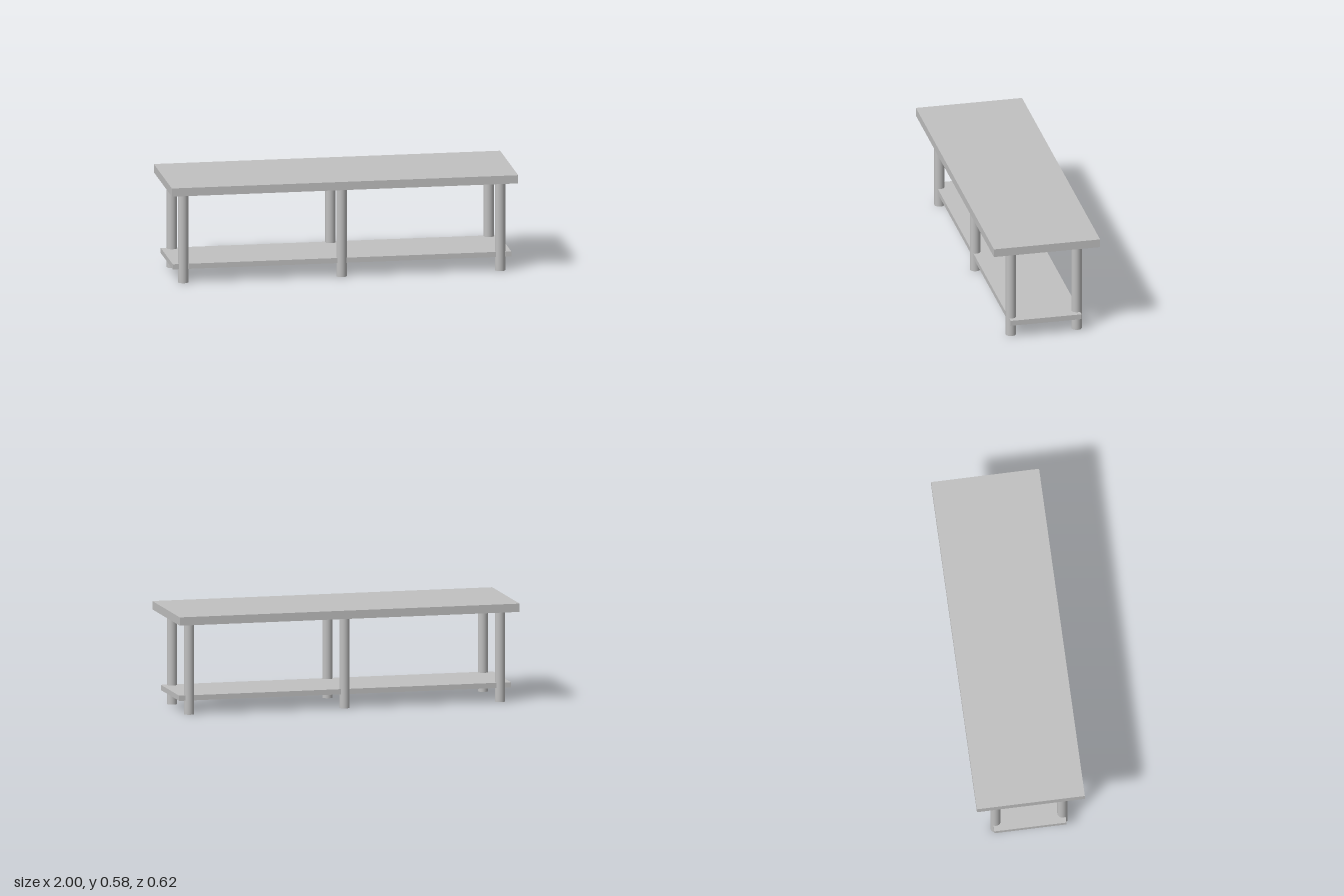
import * as THREE from 'three';

export function createModel() {
  const group = new THREE.Group();
  const grey = new THREE.MeshStandardMaterial({ color: 0xc0c0c0 });
  grey.name = 'light grey';

  function add(name, geometry, x, y, z) {
    const mesh = new THREE.Mesh(geometry, grey);
    mesh.name = name;
    mesh.position.set(x, y, z);
    group.add(mesh);
  }

  // Slabs
  const legHeight = 0.53, topThickness = 0.048;
  add('tableTop', new THREE.BoxGeometry(2, topThickness, 0.62), 0, legHeight + topThickness / 2, 0);
  add('lowerShelf', new THREE.BoxGeometry(1.954, 0.03, 0.414), 0, 0.095, 0);

  // Three pairs of round legs, passing through the shelf edges
  const legGeometry = new THREE.CylinderGeometry(0.0295, 0.0295, legHeight, 40);
  for (const [zName, z] of [['front', 0.192], ['back', -0.192]]) {
    for (const [xName, x] of [['Right', -0.915], ['Middle', 0], ['Left', 0.915]]) {
      add(`${zName}${xName}Leg`, legGeometry, x, legHeight / 2, z);
    }
  }
  return group;
}
